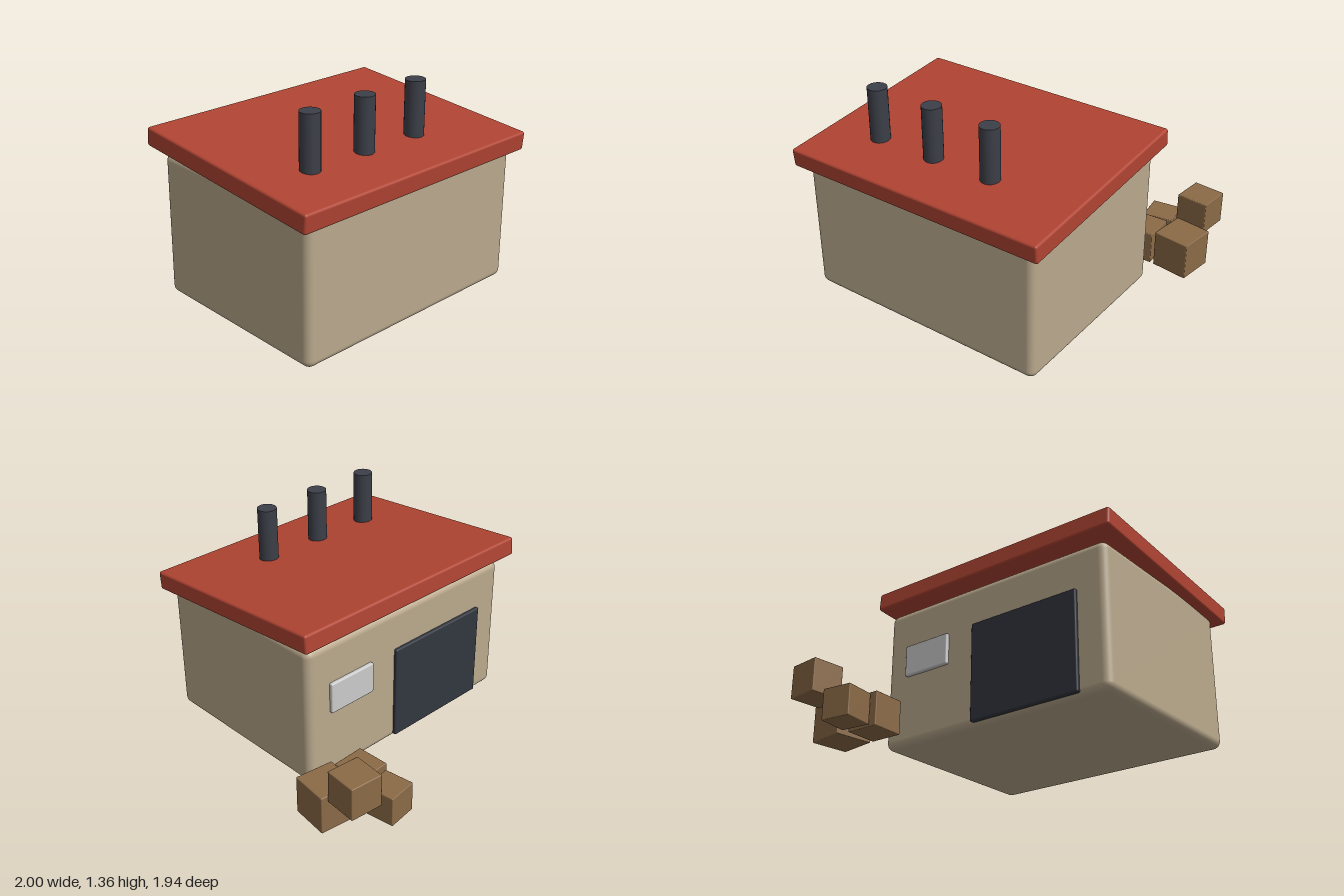
import * as THREE from 'three';
import { RoundedBoxGeometry } from 'three/addons/geometries/RoundedBoxGeometry.js';

const material = (color) => new THREE.MeshStandardMaterial({ color });
const wallMat = material(0xbaa98d);
const roofMat = material(0xb04433);
const pipeMat = material(0x3c3f48);
const doorMat = material(0x32363f);
const signMat = material(0xcccccc);
const crateMat = material(0x8b6a47);

export function createModel() {
  const model = new THREE.Group();
  model.name = 'workshop';

  function add(name, geometry, mat, x, y, z, parent = model) {
    const mesh = new THREE.Mesh(geometry, mat);
    mesh.name = name;
    mesh.position.set(x, y, z);
    parent.add(mesh);
    return mesh;
  }
  const block = (w, h, d, r, segments = 2) => new RoundedBoxGeometry(w, h, d, segments, r);

  // Building body with softened edges
  add('walls', block(1.68, 0.93, 1.27, 0.05, 4), wallMat, -0.09, 0.465, 0.273);

  // Slab roof, sloping down towards the front
  const roof = add('roof', block(1.81, 0.12, 1.39, 0.015), roofMat, -0.095, 0.977, 0.272);
  roof.rotation.x = 0.08;

  // Row of chimneys
  const chimneys = new THREE.Group();
  chimneys.name = 'chimneys';
  model.add(chimneys);
  const pipe = new THREE.CylinderGeometry(0.062, 0.062, 0.4, 24);
  for (const x of [-0.62, -0.2, 0.22]) add('chimney', pipe, pipeMat, x, 1.157, 0.587, chimneys);

  // Back wall: loading door and sign plate
  add('door', block(0.77, 0.635, 0.04, 0.01), doorMat, -0.345, 0.343, -0.365);
  add('signPlate', block(0.345, 0.205, 0.04, 0.01), signMat, 0.41, 0.557, -0.365);

  // Crates: size, x, bottom y, z, turn
  const crates = new THREE.Group();
  crates.name = 'crates';
  model.add(crates);
  for (const [s, x, y, z, turn] of [
    [0.197, 0.584, 0.005, -0.858, 0.135],
    [0.217, 0.583, 0.005, -0.623, 0.035],
    [0.215, 0.858, 0.217, -0.857, -0.09],
    [0.25, 0.859, 0.005, -0.625, -0.125],
  ]) {
    const crate = add('crate', block(s, s, s, 0.006), crateMat, x, y + s / 2, z, crates);
    crate.rotation.y = turn;
  }

  return model;
}
